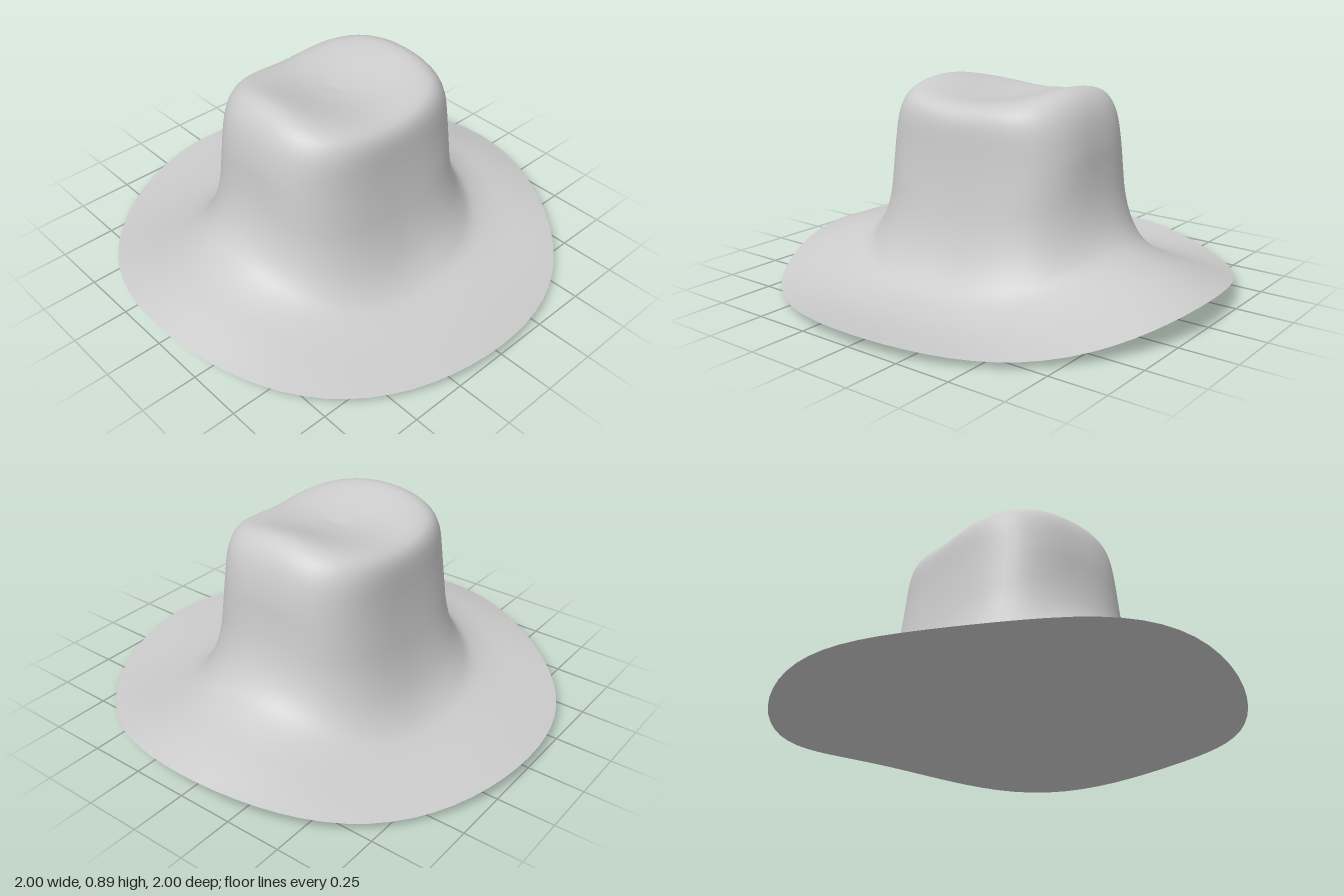
import * as THREE from 'three';

const SEGMENTS = 72;

// Rings from brim edge to crown centre:
// half width x, height at sides, half depth z, height at front/back, squareness, diagonal droop
const RINGS = [
  [1.0, 0.11, 1.0, 0.055, 2, 0.05],
  [0.85, 0.16, 0.85, 0.045, 2, 0.045],
  [0.72, 0.195, 0.72, 0.05, 2.05, 0.035],
  [0.62, 0.24, 0.6, 0.075, 2.2, 0.025],
  [0.56, 0.295, 0.53, 0.12, 2.4, 0.015],
  [0.52, 0.37, 0.47, 0.2, 2.6, 0.005],
  [0.495, 0.46, 0.425, 0.32, 2.8, 0],
  [0.482, 0.56, 0.398, 0.46, 3, 0],
  [0.475, 0.66, 0.382, 0.6, 3, 0],
  [0.457, 0.76, 0.376, 0.7, 3, 0],
  [0.43, 0.828, 0.37, 0.755, 3, 0],
  [0.39, 0.875, 0.357, 0.79, 3, 0],
  [0.34, 0.893, 0.335, 0.812, 2.9, 0],
  [0.275, 0.883, 0.295, 0.828, 2.7, 0],
  [0.2, 0.86, 0.235, 0.833, 2.4, 0],
  [0.11, 0.836, 0.13, 0.828, 2.1, 0],
  [0, 0.822, 0, 0.822, 2, 0],
];

// Rounded-square ring with saddle-shaped height
function ringPoint([a, ySide, b, yFront, n, droop], t) {
  const c = Math.cos(t), s = Math.sin(t);
  const r = (Math.abs(c) ** n + Math.abs(s) ** n) ** (-1 / n);
  const y = ySide * c * c + yFront * s * s - droop * (1 - Math.cos(4 * t)) / 2;
  return [a * c * r, y, b * s * r];
}

// Smooth skin over concentric rings, facing up or down
function skin(rings, facingUp) {
  const positions = [], index = [];
  rings.forEach((ring, i) => {
    for (let j = 0; j < SEGMENTS; j++) {
      positions.push(...ringPoint(ring, (j / SEGMENTS) * Math.PI * 2));
      if (i === rings.length - 1) continue;
      const k = (j + 1) % SEGMENTS;
      const p = i * SEGMENTS + j, q = i * SEGMENTS + k;
      const u = p + SEGMENTS, v = q + SEGMENTS;
      if (facingUp) index.push(p, u, q, q, u, v);
      else index.push(p, q, u, q, v, u);
    }
  });
  const geometry = new THREE.BufferGeometry();
  geometry.setAttribute('position', new THREE.Float32BufferAttribute(positions, 3));
  geometry.setIndex(index);
  geometry.computeVertexNormals();
  return geometry;
}

// Curve through three chosen columns of the ring table
function columnCurve(i, j, k) {
  const points = RINGS.map((r) => new THREE.Vector3(r[i], r[j], r[k]));
  return new THREE.CatmullRomCurve3(points, false, 'catmullrom', 0.5);
}

export function createModel() {
  const hat = new THREE.Group();
  hat.name = 'hat';
  const material = new THREE.MeshStandardMaterial({ color: 0xcccccc });
  const add = (name, geometry) => {
    const mesh = new THREE.Mesh(geometry, material);
    mesh.name = name;
    hat.add(mesh);
  };

  // Crown flowing into the upper side of the brim
  const sideCurve = columnCurve(0, 1, 4), frontCurve = columnCurve(2, 3, 5);
  const steps = (RINGS.length - 1) * 3;
  const upper = [];
  for (let i = 0; i <= steps; i++) {
    const s = sideCurve.getPoint(i / steps), f = frontCurve.getPoint(i / steps);
    upper.push([s.x, s.y, f.x, f.y, s.z, f.z]);
  }
  add('crownAndBrim', skin(upper, true));

  // Closed, shallow bowl-shaped underside meeting the brim edge
  const lower = [];
  for (let i = 0; i <= 12; i++) {
    const r = 1 - i / 12, h = r * r;
    lower.push([r, 0.11 * h, r, 0.055 * h, 2, 0.05 * h]);
  }
  add('underside', skin(lower, false));

  return hat;
}
